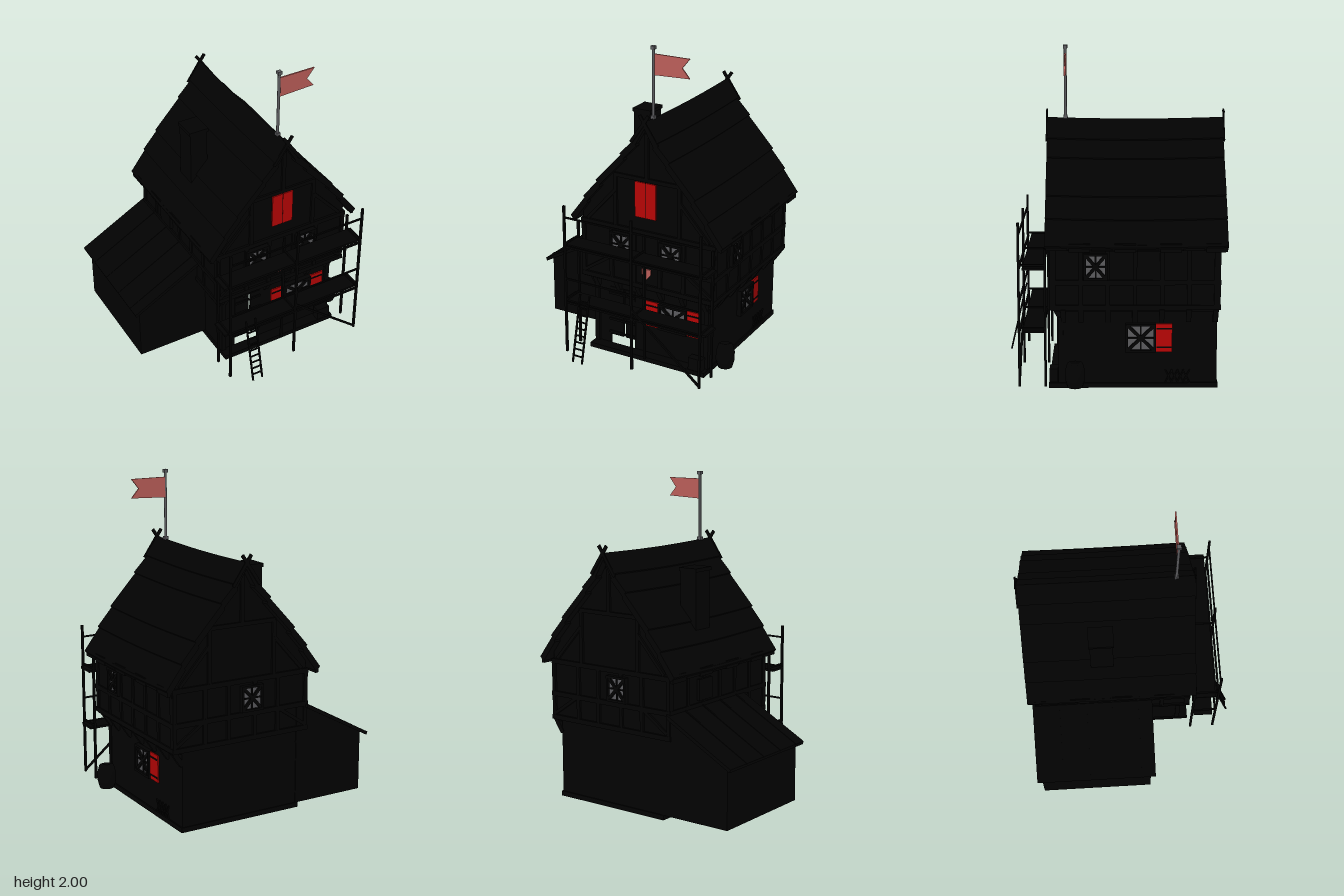
import * as THREE from 'three';

const mat = (name, color) => {
  const m = new THREE.MeshStandardMaterial({ color, side: THREE.DoubleSide });
  m.name = name;
  return m;
};

export function createModel() {
  const black = mat('black timber', 0x020202);
  const red = mat('red paint', 0xb80505);
  const grey = mat('grey glass', 0x5c5c5f);
  const cloth = mat('faded red cloth', 0xbd5f5a);
  const model = new THREE.Group();
  model.name = 'timberHouse';
  const CX = 0.19; // ridge line
  const UP = new THREE.Vector3(0, 1, 0);

  const add = (parent, name, geo, m, x = 0, y = 0, z = 0) => {
    const mesh = new THREE.Mesh(geo, m);
    mesh.name = name;
    mesh.position.set(x, y, z);
    parent.add(mesh);
    return mesh;
  };
  const box = (p, name, m, w, h, d, x, y, z) => add(p, name, new THREE.BoxGeometry(w, h, d), m, x, y, z);
  // Square bar between two points in the parent's space
  const bar = (p, name, m, a, b, t = 0.014, t2 = t) => {
    const va = new THREE.Vector3(...a), vb = new THREE.Vector3(...b);
    const mesh = box(p, name, m, t, t2, va.distanceTo(vb), 0, 0, 0);
    mesh.position.copy(va).add(vb).multiplyScalar(0.5);
    mesh.quaternion.setFromRotationMatrix(new THREE.Matrix4().lookAt(vb, va, UP));
  };
  // Polygon in x,y pushed from z0 to z1
  const prism = (p, name, m, pts, z0, z1) => {
    const shape = new THREE.Shape(pts.map(q => new THREE.Vector2(...q)));
    const geo = new THREE.ExtrudeGeometry(shape, { depth: z1 - z0, bevelEnabled: false, steps: 6 });
    return add(p, name, geo, m, 0, 0, z0);
  };
  const group = (name, x, y, z, ry = 0) => {
    const g = new THREE.Group();
    g.name = name;
    g.position.set(x, y, z);
    g.rotation.y = ry;
    model.add(g);
    return g;
  };

  // Plinth ring and hollow ground floor, open below, with a doorway in front
  for (const s of [-1, 1]) box(model, 'plinthSide', black, 0.03, 0.03, 1.0, CX + s * 0.392, 0.015, -0.112);
  box(model, 'plinthBack', black, 0.8, 0.03, 0.03, CX, 0.015, -0.597);
  box(model, 'plinthFront', black, 0.8, 0.03, 0.07, CX, 0.015, 0.353);
  for (const s of [-1, 1]) {
    box(model, 'groundSideWall', black, 0.02, 0.5, 0.92, CX + s * 0.3875, 0.25, -0.145);
    box(model, 'groundCornerPost', black, 0.03, 0.42, 0.03, CX + s * 0.388, 0.22, 0.317);
  }
  box(model, 'groundBackWall', black, 0.79, 0.5, 0.02, CX, 0.25, -0.595);
  prism(model, 'groundFrontWall', black, [[-0.207, 0.01], [-0.11, 0.01], [-0.11, 0.42], [0.07, 0.42],
    [0.07, 0.01], [0.587, 0.01], [0.587, 0.5], [-0.207, 0.5]], 0.295, 0.315);

  // Two door leaves, ajar above the sill, with battens
  for (const [x, w] of [[-0.06, 0.1], [0.04, 0.07]]) {
    box(model, 'doorLeaf', black, w, 0.33, 0.016, x, 0.255, 0.312);
    for (let i = 0; i < 4; i++) box(model, 'doorBatten', black, w, 0.014, 0.014, x, 0.11 + i * 0.09, 0.322);
  }

  // Overhanging upper floor and gable
  box(model, 'upperFloor', black, 0.91, 0.4, 0.97, CX, 0.68, -0.12);
  const half = [[0.455, 0.86], [0.455, 0.94], [0.33, 1.12], [0.15, 1.33]];
  prism(model, 'gable', black, [...half.map(([d, y]) => [CX + d, y]), [CX, 1.53],
    ...half.slice().reverse().map(([d, y]) => [CX - d, y])], -0.605, 0.365);

  // Timber frame on the front and back walls
  for (const [z, s] of [[0.365, 1], [-0.605, -1]]) {
    const zz = z + s * 0.004;
    for (const y of [0.505, 0.655, 0.86]) box(model, 'wallBeam', black, 0.93, 0.03, 0.022, CX, y, zz);
    for (const d of [-0.45, -0.25, -0.09, 0.09, 0.25, 0.45]) box(model, 'wallPost', black, 0.025, 0.36, 0.018, CX + d, 0.68, zz);
    box(model, 'gableBeam', black, 0.46, 0.025, 0.018, CX, 1.2, zz);
    for (const d of [-0.22, 0.22]) {
      box(model, 'gablePost', black, 0.025, 0.33, 0.018, CX + d, 1.03, zz);
      bar(model, 'gableBrace', black, [CX + d * 1.9, 0.88, zz], [CX + d, 1.1, zz], 0.02);
      bar(model, 'wallBrace', black, [CX + d * 2, 0.53, zz], [CX + d * 1.2, 0.65, zz], 0.02);
    }
    box(model, 'kingPost', black, 0.025, 0.3, 0.018, CX, 1.34, zz);
  }
  // Timber frame and jetty brackets on the long walls
  for (const s of [-1, 1]) {
    const x = CX + s * 0.455;
    for (const y of [0.505, 0.655, 0.86]) box(model, 'sideBeam', black, 0.02, 0.03, 0.98, x, y, -0.12);
    for (let i = 0; i < 7; i++) {
      const z = 0.355 - i * 0.158, zb = Math.min(z, 0.3);
      box(model, 'sidePost', black, 0.016, 0.36, 0.025, x, 0.68, z);
      bar(model, 'jettyBracket', black, [CX + s * 0.395, 0.41, zb], [x, 0.5, zb], 0.03);
    }
  }
  for (let i = 0; i < 6; i++) {
    const x = CX - 0.38 + i * 0.152;
    bar(model, 'frontBracket', black, [x, 0.42, 0.315], [x, 0.49, 0.355], 0.03);
  }

  // Main roof: overlapping tiers on both slopes with a slight sag
  const slope = [[0, 1.568], [0.085, 1.453], [0.17, 1.35], [0.34, 1.15], [0.43, 1.03], [0.525, 0.885]];
  for (const s of [-1, 1]) {
    for (let i = 0; i < slope.length - 1; i++) {
      const [d0, y0] = slope[i], [d1, y1] = slope[i + 1];
      const top = i ? [CX + s * (d0 - 0.013), y0 - 0.003] : [CX, y0];
      const mesh = prism(model, 'roofTier', black, [top, [CX + s * d1, y1],
        [CX + s * (d1 - 0.026), y1 - 0.028], [CX + s * Math.max(d0 - 0.03, 0), y0 - 0.04]], -0.655, 0.403);
      const p = mesh.geometry.attributes.position;
      for (let k = 0; k < p.count; k++) p.setY(k, p.getY(k) - 0.01 * Math.sin(Math.PI * p.getZ(k) / 1.058));
      mesh.geometry.computeVertexNormals();
    }
    // Ragged eave edge and crossed boards on the gable peaks
    for (let k = 0; k < 8; k++) box(model, 'eaveBoard', black, 0.02, 0.035 + 0.015 * (k % 2), 0.125, CX + s * 0.505, 0.872, 0.335 - k * 0.132);
    for (const z of [0.405, -0.659])
      bar(model, 'crossedBoard', black, [CX - s * 0.03, 1.61, z], [CX + s * 0.09, 1.435, z], 0.009, 0.02);
  }

  // Chimney
  box(model, 'chimney', black, 0.115, 0.5, 0.14, -0.125, 1.2, -0.175);
  box(model, 'chimneyCap', black, 0.13, 0.022, 0.152, -0.125, 1.449, -0.175);

  // Lean-to shed, open below, with a ribbed roof
  for (const z of [-0.61, 0.085])
    prism(model, 'shedEndWall', black, [[-0.68, 0.03], [-0.2, 0.03], [-0.2, 0.64], [-0.27, 0.635], [-0.68, 0.412]], z, z + 0.02);
  box(model, 'shedSideWall', black, 0.02, 0.38, 0.7, -0.67, 0.22, -0.252);
  prism(model, 'shedRoof', black, [[-0.72, 0.405], [-0.713, 0.385], [-0.26, 0.63], [-0.26, 0.655]], -0.637, 0.133);
  for (const z of [-0.47, -0.295, -0.12, 0.05])
    bar(model, 'shedRoofRib', black, [-0.72, 0.401, z], [-0.27, 0.648, z], 0.012);

  // Window: glass plate, frame, glazing bars and crossed boards; faces +z locally
  const windowAt = (x, y, z, ry, w, h, shutters = []) => {
    const g = group('window', x, y, z, ry);
    box(g, 'glass', grey, w, h, 0.008, 0, 0, 0.006);
    for (const s of [-1, 1]) {
      box(g, 'frameSide', black, 0.014, h + 0.028, 0.03, s * (w / 2 + 0.007), 0, 0.012);
      box(g, 'frameRail', black, w + 0.028, 0.014, 0.03, 0, s * (h / 2 + 0.007), 0.012);
      bar(g, 'crossBoard', black, [-w / 2, -s * h / 2, 0.015], [w / 2, s * h / 2, 0.015], 0.016, 0.018);
    }
    box(g, 'glazingBar', black, 0.009, h, 0.012, 0, 0, 0.011);
    box(g, 'glazingBar', black, w, 0.009, 0.012, 0, 0, 0.011);
    box(g, 'crossCentre', black, 0.034, 0.036, 0.014, 0, 0, 0.016);
    for (const s of shutters) {
      const sx = s * (w / 2 + 0.062);
      box(g, 'shutter', red, 0.096, h + 0.025, 0.009, sx, 0, 0.01);
      for (const t of [-1, 1]) box(g, 'shutterBatten', black, 0.09, 0.009, 0.008, sx, t * h * 0.39, 0.014);
    }
  };
  const R = Math.PI / 2;
  windowAt(0.013, 0.75, 0.368, 0, 0.125, 0.13);
  windowAt(0.358, 0.75, 0.368, 0, 0.125, 0.13);
  windowAt(0.347, 0.305, 0.317, 0, 0.17, 0.145, [-1, 1]);
  windowAt(0.646, 0.75, 0.11, R, 0.11, 0.13);
  windowAt(0.59, 0.308, -0.155, R, 0.15, 0.145, [1]);
  windowAt(0.125, 0.75, -0.608, Math.PI, 0.12, 0.13);
  // Closed hatch above the shed
  box(model, 'closedHatch', black, 0.03, 0.13, 0.13, -0.27, 0.75, -0.28);

  // Loft doors
  for (const s of [-1, 1]) box(model, 'loftDoor', red, 0.07, 0.225, 0.009, 0.184 + s * 0.037, 1.072, 0.378);
  box(model, 'loftDoorGap', black, 0.005, 0.225, 0.008, 0.184, 1.072, 0.377);

  // Shield plaque
  prism(model, 'shieldPlaque', cloth, [[0.155, 0.625], [0.217, 0.625], [0.217, 0.59], [0.186, 0.555], [0.155, 0.59]], 0.37, 0.378);

  // Scaffold: posts, decks, rails and brace
  for (const x of [-0.28, CX, 0.655]) {
    bar(model, 'scaffoldPost', black, [x, 0.03, 0.558], [x, 1.01, 0.558]);
    bar(model, 'scaffoldPost', black, [x, 0.03, 0.405], [x, 0.86, 0.405]);
    for (const y of [0.385, 0.76]) bar(model, 'scaffoldCrossbar', black, [x, y, 0.405], [x, y, 0.56], 0.01);
  }
  for (const y of [0.368, 0.742]) {
    box(model, 'scaffoldDeck', black, 0.99, 0.014, 0.125, CX - 0.003, y, 0.473);
    bar(model, 'scaffoldLedger', black, [-0.28, y, 0.555], [0.655, y, 0.555], 0.012);
  }
  for (const y of [0.53, 0.935]) bar(model, 'scaffoldRail', black, [-0.28, y, 0.558], [0.655, y, 0.558], 0.01);
  bar(model, 'scaffoldBrace', black, [CX, 0.43, 0.558], [0.655, 0.04, 0.558], 0.012);

  // Ladder
  for (const x of [-0.172, -0.106]) bar(model, 'ladderRail', black, [x, 0.03, 0.66], [x, 0.45, 0.562], 0.01);
  for (let i = 1; i < 10; i++) {
    const y = 0.03 + 0.042 * i, z = 0.66 - 0.0098 * i;
    bar(model, 'ladderRung', black, [-0.172, y, z], [-0.106, y, z], 0.008);
  }

  // Barrel, crate and cellar grate
  const stave = [[0, 0], [0.046, 0], [0.058, 0.045], [0.058, 0.1], [0.046, 0.145], [0, 0.145]];
  add(model, 'barrel', new THREE.LatheGeometry(stave.map(q => new THREE.Vector2(...q)), 12), black, 0.662, 0.028, 0.232);
  box(model, 'crate', black, 0.09, 0.08, 0.05, 0.53, 0.07, 0.36);
  for (let i = 0; i < 4; i++) for (const s of [-1, 1]) {
    const z = -0.32 - i * 0.035;
    bar(model, 'cellarGrate', black, [0.592, 0.03, z - s * 0.02], [0.592, 0.11, z + s * 0.02], 0.008);
  }

  // Flagpole and swallow-tailed flag
  add(model, 'flagpole', new THREE.CylinderGeometry(0.009, 0.009, 0.43, 8), grey, 0.188, 1.775, 0.293);
  for (const y of [1.57, 1.99]) box(model, 'flagpoleEnd', grey, 0.026, 0.02, 0.026, 0.188, y, 0.293);
  prism(model, 'flag', cloth, [[0.192, 1.953], [0.427, 1.953], [0.378, 1.892], [0.427, 1.835], [0.192, 1.826]], 0.286, 0.295);
  return model;
}
